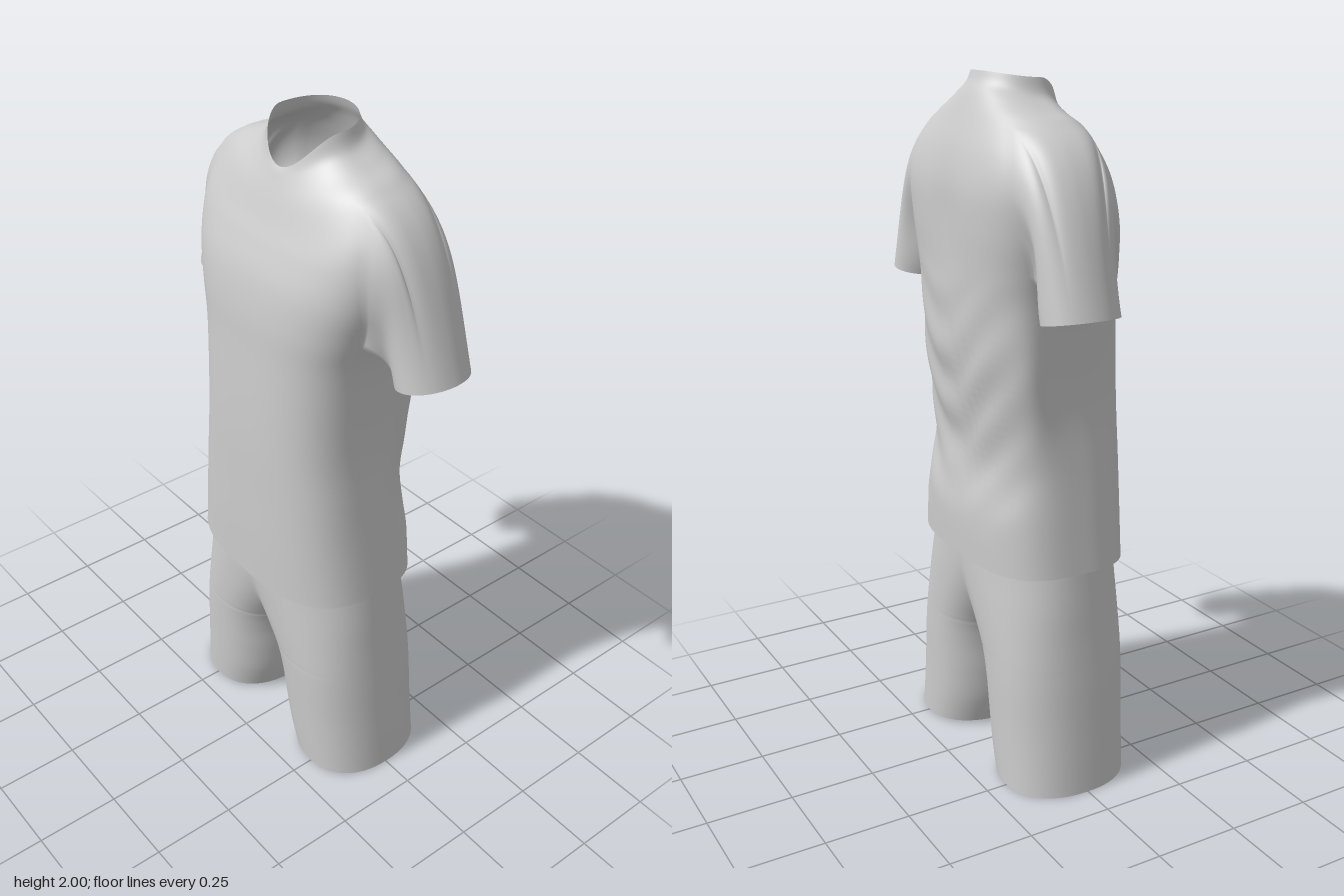
import * as THREE from 'three';
import { mergeVertices } from 'three/addons/utils/BufferGeometryUtils.js';

// Catmull-Rom through rows of numbers, t counted in rows
function sample(rows, t) {
  const n = rows.length - 1;
  const i = Math.min(Math.floor(t), n - 1), f = t - i;
  const at = k => rows[Math.max(0, Math.min(n, k))];
  return rows[i].map((b, k) => {
    const a = at(i - 1)[k], c = at(i + 1)[k], d = at(i + 2)[k];
    return b + 0.5 * f * (c - a + f * (2 * a - 5 * b + 4 * c - d + f * (3 * (b - c) + d - a)));
  });
}
const spow = (v, e) => Math.sign(v) * Math.abs(v) ** e;
const bump = (v, w) => Math.exp(-((v / w) ** 2));
const { lerp, smoothstep } = THREE.MathUtils;

function toGeometry(pos, idx) {
  let g = new THREE.BufferGeometry();
  g.setAttribute('position', new THREE.Float32BufferAttribute(pos, 3));
  g.setIndex(idx);
  g = mergeVertices(g, 1e-5);
  g.computeVertexNormals();
  return g;
}

// Rings from hem to collar: half width, side y, front z, front y, back z, back y
const BODY = [
  [0.336, 0.657, 0.235, 0.642, -0.213, 0.652],
  [0.316, 0.8, 0.237, 0.8, -0.213, 0.8],
  [0.296, 0.95, 0.236, 0.95, -0.192, 0.95],
  [0.281, 1.1, 0.235, 1.1, -0.206, 1.1],
  [0.281, 1.25, 0.23, 1.25, -0.224, 1.25],
  [0.292, 1.4, 0.222, 1.4, -0.229, 1.4],
  [0.316, 1.5, 0.216, 1.51, -0.231, 1.5],
  [0.345, 1.6, 0.2, 1.61, -0.234, 1.61],
  [0.36, 1.7, 0.172, 1.69, -0.231, 1.71],
  [0.345, 1.79, 0.146, 1.75, -0.212, 1.8],
  [0.28, 1.873, 0.124, 1.805, -0.182, 1.88],
  [0.2, 1.907, 0.107, 1.845, -0.157, 1.94],
  [0.145, 1.938, 0.097, 1.868, -0.138, 1.975],
  [0.125, 1.985, 0.09, 1.88, -0.128, 2.0],
];

function jerseyGeometry() {
  const N = 96, SUB = 6, ROWS = (BODY.length - 1) * SUB;
  const pos = [], idx = [];
  const quad = (a, b, c, d, flip) =>
    flip ? idx.push(a, d, c, a, c, b) : idx.push(a, b, c, a, c, d);
  const id = (u, v) => v * N + ((u % N) + N) % N;

  // Body rings
  for (let v = 0; v <= ROWS; v++) {
    const row = v / SUB;
    const [hw, ys, zf, yf, zb, yb] = sample(BODY, row);
    const widen = lerp(-0.2, 0.28, smoothstep(row, 5.8, 8.5));   // armhole opens towards the shoulder
    const cz = (zf + zb) / 2, hz = (zf - zb) / 2;
    for (let u = 0; u < N; u++) {
      const t = u / N * Math.PI * 2;
      const th = t + widen * Math.sin(2 * t), s = Math.sin(th);
      const e = lerp(s > 0 ? 0.71 : 0.65, 1, smoothstep(row, 8, 12));
      let x = hw * spow(Math.cos(th), e);
      const y = ys + (s > 0 ? (yf - ys) * s ** 2.3 : (yb - ys) * (-s) ** 1.5);
      let z = cz + hz * spow(s, e);
      if (s < 0) {
        // Loose cloth behind the waist, sagging folds, hollow between the shoulder blades
        x *= 1 + 0.075 * Math.sin(Math.PI * s) ** 2 * bump(y - 1.22, 0.2);
        const w = y > 0.75 && y < 1.5 ? Math.sin(Math.PI * (y - 0.75) / 0.75) * s * s : 0;
        z += 0.006 * w * Math.sin(36 * (y - 1.15 * Math.hypot(x - 0.03, 0.06)));
        z += 0.01 * bump(x, 0.07) * bump(y - 1.62, 0.14);
      }
      pos.push(x, y, z);
    }
  }

  // Body faces, leaving the armholes open
  const U0 = -9, U1 = 5, V0 = 35, V1 = 60;
  const inHole = (u, v) => v >= V0 && v < V1 && (
    (u >= N + U0 || u < U1) || (u >= N / 2 - U1 && u < N / 2 - U0));
  for (let v = 0; v < ROWS; v++) for (let u = 0; u < N; u++) {
    if (!inHole(u, v)) quad(id(u, v), id(u, v + 1), id(u + 1, v + 1), id(u + 1, v));
  }

  // Armhole loop: ring position and the step to the neighbour it flows on from
  const loop = [];
  for (let u = U0; u < U1; u++) loop.push([u, V0, 0, 0]);
  for (let v = V0; v < V1; v++) loop.push([U1, v, 1, 0]);
  for (let u = U1; u > U0; u--) loop.push([u, V1, 0, 1]);
  for (let v = V1; v > V0; v--) loop.push([U0, v, -1, 0]);

  // Sleeves grow out of the armholes as Bezier strands
  const M = loop.length, STEPS = 20, SMOOTH = 5;
  for (const side of [1, -1]) {
    const at = (u, v) => id(side > 0 ? u : N / 2 - u, v);
    const point = i => new THREE.Vector3(pos[3 * i] * side, pos[3 * i + 1], pos[3 * i + 2]);
    let prev = loop.map(([u, v]) => at(u, v));
    const flows = loop.map(([u, v, du, dv]) =>
      point(at(u, v)).sub(point(at(u + du, v + dv))).normalize()
        .add(new THREE.Vector3(0.93, -0.36, 0)).normalize());
    const strands = prev.map((p, i) => {
      const L = point(p);
      const flow = new THREE.Vector3();
      for (let k = -SMOOTH; k <= SMOOTH; k++) flow.add(flows[(i + k + M) % M]);
      flow.normalize();
      const a = Math.atan2((L.z + 0.05) / 0.13, (L.y - 1.67) / 0.19);
      const c = Math.cos(a) * 0.082;
      const H = new THREE.Vector3(0.43 + 0.983 * c, 1.405 + 0.184 * c, -0.068 + 0.11 * Math.sin(a));
      const d = H.distanceTo(L);
      return new THREE.CubicBezierCurve3(
        L,
        L.clone().addScaledVector(flow, 0.29 * d),
        H.clone().addScaledVector(new THREE.Vector3(-0.3, 0.954, 0), 0.5 * d),
        H);
    });
    for (let k = 1; k <= STEPS; k++) {
      const ring = strands.map(s => {
        const p = s.getPoint(k / STEPS);
        pos.push(p.x * side, p.y, p.z);
        return pos.length / 3 - 1;
      });
      for (let i = 0; i < M; i++) {
        const j = (i + 1) % M;
        quad(prev[i], ring[i], ring[j], prev[j], side < 0);
      }
      prev = ring;
    }
  }
  return toGeometry(pos, idx);
}

// Leg sections from waist to hem: y, inner x, outer x, front z, back z
const LEG = [
  [0.7, -0.3, 0.325, 0.222, -0.203],
  [0.62, -0.22, 0.334, 0.217, -0.201],
  [0.54, -0.13, 0.343, 0.212, -0.199],
  [0.46, -0.056, 0.351, 0.208, -0.197],
  [0.38, 0.0, 0.36, 0.204, -0.195],
  [0.3, 0.026, 0.369, 0.2, -0.194],
  [0.2, 0.04, 0.379, 0.195, -0.192],
  [0.1, 0.057, 0.389, 0.19, -0.191],
  [0.005, 0.085, 0.398, 0.184, -0.19],
];

function shortsGeometry() {
  const N = 64, SUB = 8, ROWS = (LEG.length - 1) * SUB, E = 0.87;
  const pos = [], idx = [];
  for (const side of [1, -1]) {
    const base = pos.length / 3;
    for (let v = 0; v <= ROWS; v++) {
      const [y, xi, xo, zf, zb] = sample(LEG, v / SUB);
      const xc = (xi + xo) / 2, hw = (xo - xi) / 2;
      // Above the crotch each section stops at the centre line
      const lim = xi >= 0 ? Math.PI : Math.acos(-spow(Math.min(1, xc / hw), 1 / E));
      for (let u = 0; u <= N; u++) {
        const th = lim * (2 * u / N - 1);
        let x = xc + hw * spow(Math.cos(th), E);
        if (xi < 0 && (u === 0 || u === N)) x = 0;
        const hem = y < 0.1 ? -0.005 * Math.cos(th) * (1 - y * 10) : 0;
        pos.push(x * side, y + hem, (zf + zb) / 2 + (zf - zb) / 2 * spow(Math.sin(th), E));
      }
    }
    for (let v = 0; v < ROWS; v++) for (let u = 0; u < N; u++) {
      const a = base + v * (N + 1) + u, b = a + 1, d = a + N + 1, c = d + 1;
      if (side > 0) idx.push(a, b, c, a, c, d);
      else idx.push(a, c, b, a, d, c);
    }
  }
  return toGeometry(pos, idx);
}

export function createModel() {
  const cloth = new THREE.MeshStandardMaterial({ color: 0xcccccc, side: THREE.DoubleSide });
  cloth.name = 'light grey cloth';
  const group = new THREE.Group();
  group.name = 'sportsKit';
  const add = (name, geometry) => {
    const mesh = new THREE.Mesh(geometry, cloth);
    mesh.name = name;
    group.add(mesh);
  };
  add('jersey', jerseyGeometry());
  add('shorts', shortsGeometry());
  return group;
}
